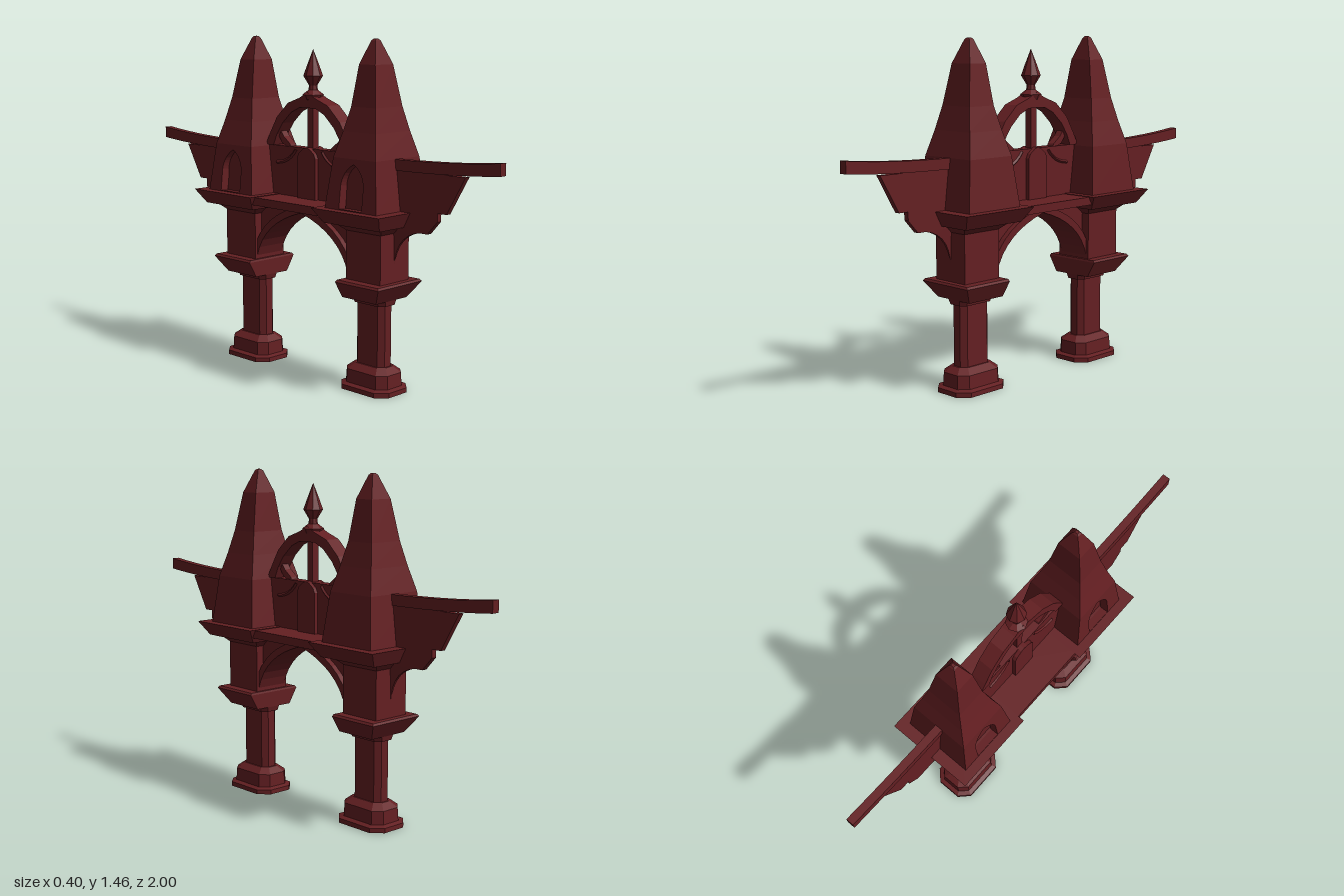
import * as THREE from 'three';

const material = new THREE.MeshStandardMaterial({ color: 0x641f22, flatShading: true, side: THREE.DoubleSide });

function add(parent, name, geometry) {
  const mesh = new THREE.Mesh(geometry, material);
  mesh.name = name;
  parent.add(mesh);
  return mesh;
}

// Stack of rectangular rings [y, halfX, halfZ, centreZ, chamfer], joined and capped.
function loft(sections, skipFace = -1) {
  const chamfered = sections[0][4] > 0;
  const rings = sections.map(([y, hx, hz, cz, c = 0]) => {
    const p = chamfered
      ? [[hx, hz - c], [hx, c - hz], [hx - c, -hz], [c - hx, -hz], [-hx, c - hz], [-hx, hz - c], [c - hx, hz], [hx - c, hz]]
      : [[hx, hz], [hx, -hz], [-hx, -hz], [-hx, hz]];
    return p.map(([x, z]) => [x, y, z + cz]);
  });
  const pos = [];
  const tri = (a, b, c) => pos.push(...a, ...b, ...c);
  const n = rings[0].length;
  for (let k = 0; k < rings.length - 1; k++) {
    for (let i = 0; i < n; i++) {
      if (k === 0 && i === skipFace) continue;
      const j = (i + 1) % n, a = rings[k], b = rings[k + 1];
      tri(a[i], a[j], b[j]);
      tri(a[i], b[j], b[i]);
    }
  }
  const low = rings[0], top = rings[rings.length - 1];
  for (let i = 1; i < n - 1; i++) {
    tri(low[0], low[i + 1], low[i]);
    tri(top[0], top[i], top[i + 1]);
  }
  const g = new THREE.BufferGeometry();
  g.setAttribute('position', new THREE.Float32BufferAttribute(pos, 3));
  g.computeVertexNormals();
  return g;
}

// Shape drawn in (z, y), given a thickness along x.
function slab(shape, thickness, front = thickness / 2) {
  const g = new THREE.ExtrudeGeometry(shape, { depth: thickness, bevelEnabled: false, curveSegments: 8 });
  return g.translate(0, 0, front - thickness).rotateY(-Math.PI / 2);
}

const polygon = (pts) => new THREE.Shape(pts.map(([z, y]) => new THREE.Vector2(z, y)));
const mirrored = (half) => [...half, ...half.filter(([z]) => z !== 0).reverse().map(([z, y]) => [-z, y])];

function tower(s) {
  const group = new THREE.Group();
  group.name = s > 0 ? 'frontTower' : 'backTower';
  const c = 0.361 * s;

  add(group, 'base', loft([
    [0, 0.1, 0.136, c, 0.045], [0.02, 0.1, 0.136, c, 0.045], [0.028, 0.08, 0.117, c, 0.035],
    [0.085, 0.077, 0.115, c, 0.035], [0.11, 0.047, 0.085, c, 0.025]]));
  add(group, 'column', loft([[0.1, 0.041, 0.078, c, 0.022], [0.385, 0.041, 0.078, c, 0.022]]));
  add(group, 'columnCollar', loft([[0.372, 0.05, 0.087, c, 0.022], [0.397, 0.056, 0.093, c, 0.022]]));
  add(group, 'capital', loft([[0.395, 0.095, 0.095, c], [0.465, 0.136, 0.12, 0.384 * s], [0.474, 0.128, 0.115, 0.382 * s]]));
  add(group, 'block', loft([
    [0.47, 0.087, 0.096, 0.375 * s], [0.68, 0.087, 0.096, 0.375 * s], [0.715, 0.125, 0.135, 0.373 * s]]));
  add(group, 'cornice', loft([[0.712, 0.157, 0.154, 0.373 * s], [0.775, 0.2, 0.187, 0.373 * s]]));

  // Concave spire; its lowest -x face is replaced by a wall with an arched niche.
  const z = 0.366 * s;
  add(group, 'spire', loft([
    [0.775, 0.157, 0.142, z], [0.985, 0.134, 0.116, z], [1.09, 0.105, 0.089, z], [1.19, 0.081, 0.067, z],
    [1.36, 0.054, 0.044, 0.36 * s], [1.455, 0.015, 0.012, 0.358 * s], [1.463, 0.007, 0.006, 0.358 * s]], 2));
  const h = Math.hypot(0.21, 0.023);
  const wall = polygon([[-0.142, 0], [0.142, 0], [0.116, h], [-0.116, h]]);
  const hole = new THREE.Path();
  hole.moveTo(-0.062, 0.004).lineTo(-0.062, 0.1).quadraticCurveTo(-0.055, 0.16, 0, 0.19);
  hole.quadraticCurveTo(0.055, 0.16, 0.062, 0.1).lineTo(0.062, 0.004).lineTo(-0.062, 0.004);
  wall.holes.push(hole);
  const niche = add(group, 'nicheWall', slab(wall, 0.04, 0));
  niche.position.set(-0.157, 0.775, z);
  niche.rotation.z = -Math.atan2(0.023, 0.21);
  add(group, 'nicheBack', new THREE.BoxGeometry(0.03, 0.205, 0.2)).position.set(-0.095, 0.877, z);

  // Outer beam and bracket.
  const beam = new THREE.Shape();
  beam.moveTo(0.4 * s, 0.985).quadraticCurveTo(0.75 * s, 0.985, s, 1.015);
  beam.lineTo(s, 0.965).quadraticCurveTo(0.75 * s, 0.94, 0.4 * s, 0.94);
  add(group, 'beam', slab(beam, 0.035));
  add(group, 'bracketPanel', slab(polygon([
    [0.4, 0.945], [0.835, 0.945], [0.745, 0.79], [0.7, 0.79], [0.7, 0.755], [0.65, 0.7], [0.4, 0.7]
  ].map(([a, y]) => [a * s, y])), 0.024));
  const foot = new THREE.Shape();
  foot.moveTo(0.4 * s, 0.78).lineTo(0.7 * s, 0.78).lineTo(0.7 * s, 0.755).lineTo(0.65 * s, 0.703);
  foot.quadraticCurveTo(0.48 * s, 0.7, 0.468 * s, 0.53).lineTo(0.4 * s, 0.53);
  const footGeometry = slab(foot, 0.024);
  // The curved foot narrows to an edge at its lower end.
  const p = footGeometry.attributes.position;
  for (let i = 0; i < p.count; i++) {
    p.setX(i, p.getX(i) * THREE.MathUtils.clamp((p.getY(i) - 0.52) / 0.24, 0.1, 1));
  }
  footGeometry.computeVertexNormals();
  add(group, 'bracketFoot', footGeometry);
  return group;
}

function bridge() {
  const group = new THREE.Group();
  group.name = 'bridge';
  add(group, 'deck', new THREE.BoxGeometry(0.34, 0.035, 0.42)).position.y = 0.755;

  // Pointed arch, as a wall with a wider moulding along its opening.
  const archWall = (rise, edge, width) => {
    const s = new THREE.Shape();
    s.moveTo(0.3, 0.49).lineTo(edge, 0.49).quadraticCurveTo(0.235, 0.65, 0, 0.715);
    s.quadraticCurveTo(-0.235, 0.65, -edge, 0.49).lineTo(-0.3, 0.49);
    s.lineTo(-0.3, rise ? 0.52 : 0.745);
    if (rise) s.quadraticCurveTo(-0.24, 0.685, 0, 0.745).quadraticCurveTo(0.24, 0.685, 0.3, 0.52);
    else s.lineTo(0.3, 0.745);
    return slab(s, width);
  };
  add(group, 'archWall', archWall(false, 0.279, 0.1));
  add(group, 'archMoulding', archWall(true, 0.279, 0.15));

  // Crest wall, central pier and the openwork arch above.
  add(group, 'crestWall', new THREE.BoxGeometry(0.05, 0.22, 0.54)).position.y = 0.88;
  add(group, 'centralPier', slab(polygon(mirrored([
    [0.055, 0.77], [0.055, 0.95], [0.045, 0.97], [0.018, 0.99], [0, 0.995]])), 0.085));
  add(group, 'crestArch', slab(polygon([
    ...mirrored([[0.262, 0.99], [0.235, 1.04], [0.19, 1.115], [0.12, 1.18], [0.05, 1.205], [0, 1.23]]),
    ...mirrored([[-0.212, 0.99], [-0.19, 1.04], [-0.155, 1.09], [-0.1, 1.14], [-0.05, 1.163], [0, 1.165]])]), 0.07));
  add(group, 'crestPost', new THREE.BoxGeometry(0.035, 0.2, 0.032)).position.y = 1.075;
  for (const s of [1, -1]) {
    add(group, 'crestBrace', slab(polygon([
      [0.195, 1.07], [0.21, 1.05], [0.175, 1.0], [0.115, 0.975], [0.125, 1.0], [0.165, 1.03]
    ].map(([z, y]) => [z * s, y])), 0.035));
    const curve = new THREE.QuadraticBezierCurve3(
      new THREE.Vector3(0.025, 0.915, 0.2 * s), new THREE.Vector3(0.025, 0.92, 0.12 * s), new THREE.Vector3(0.025, 0.98, 0.08 * s));
    const mirror = new THREE.TubeGeometry(curve, 6, 0.007, 4);
    add(group, 'wallRib', mirror);
    add(group, 'wallRib', mirror.clone()).position.x = -0.05;
  }
  const finial = [[0, 1.19], [0.038, 1.2], [0.046, 1.22], [0.02, 1.24], [0.018, 1.26], [0.042, 1.3], [0.026, 1.345], [0, 1.413]];
  add(group, 'finial', new THREE.LatheGeometry(finial.map(([r, y]) => new THREE.Vector2(r, y)), 8));
  return group;
}

export function createModel() {
  const model = new THREE.Group();
  model.name = 'spiredGateway';
  model.add(tower(1), tower(-1), bridge());
  return model;
}
